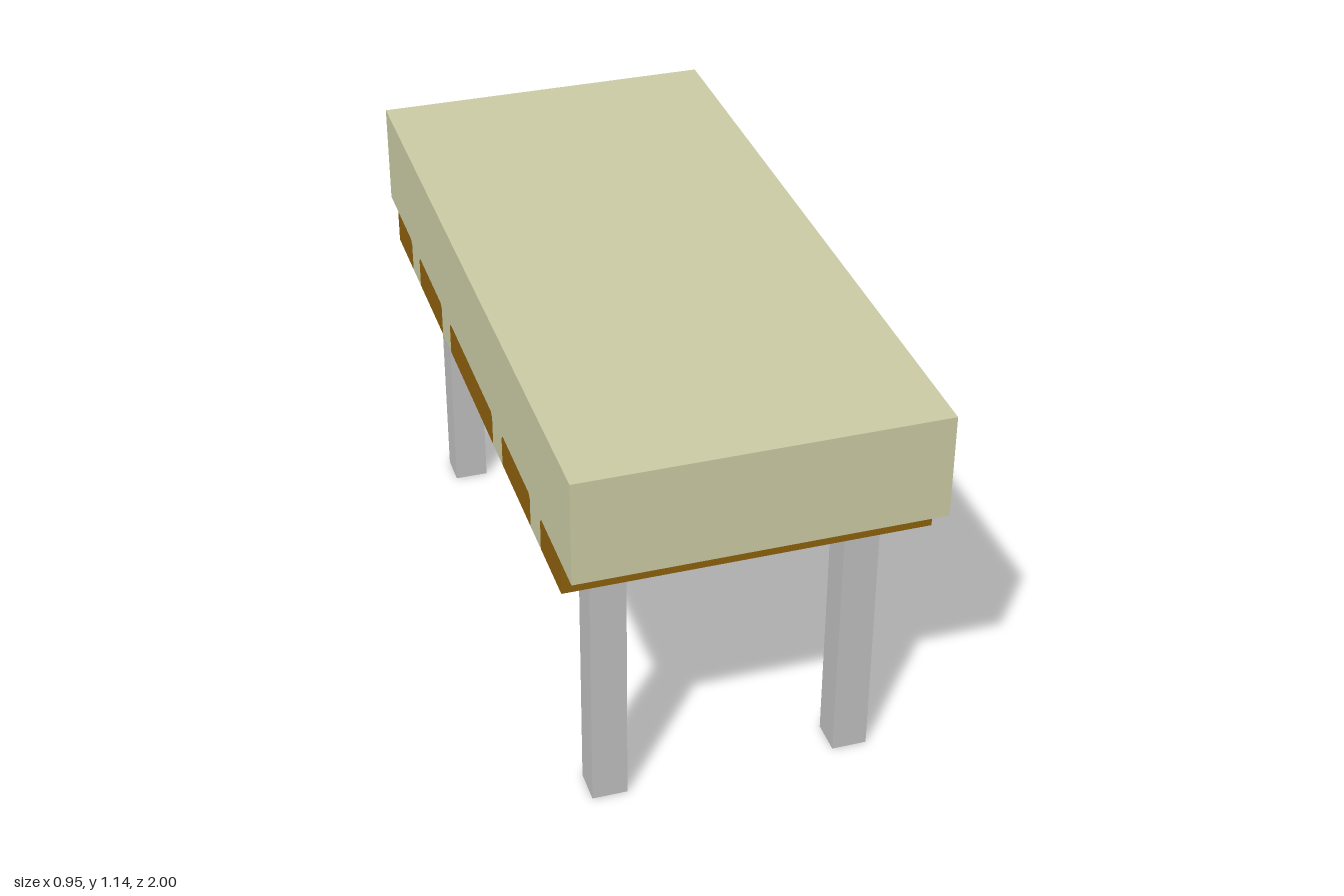
import * as THREE from 'three';

export function createModel() {
  const model = new THREE.Group();
  model.name = 'table';

  const mat = (name, color) => {
    const m = new THREE.MeshStandardMaterial({ color });
    m.name = name;
    return m;
  };
  const beige = mat('beige', 0xc9c9a3);
  const brown = mat('brown', 0x8b5f0c);
  const grey = mat('grey', 0xbdbdbd);
  const blueGrey = mat('blueGrey', 0xb6b6cc);

  const HALF_W = 0.476, T = 0.095;      // half width, rail thickness
  const RAIL_Y = 0.762, SLAB_Y = 0.857, TOP_Y = 1.143;
  const CUT = 0.012;                    // clipped upper corners of rail pieces

  const add = (name, geometry, material, x, y, z) => {
    const mesh = new THREE.Mesh(geometry, material);
    mesh.name = name;
    mesh.position.set(x, y, z);
    model.add(mesh);
  };
  const box = (name, material, w, h, d, x, y, z) =>
    add(name, new THREE.BoxGeometry(w, h, d), material, x, y, z);

  // Rail piece from z0 to z1; c0 and c1 move its upper corners outward
  function railPiece(name, material, x, z0, z1, c0, c1) {
    const shape = new THREE.Shape([
      [-z0, RAIL_Y], [-z1, RAIL_Y], [-z1, SLAB_Y - CUT],
      [-z1 - c1, SLAB_Y], [-z0 + c0, SLAB_Y], [-z0, SLAB_Y - CUT],
    ].map(([u, v]) => new THREE.Vector2(u, v)));
    const g = new THREE.ExtrudeGeometry(shape, { depth: T, bevelEnabled: false });
    g.translate(0, 0, -T / 2).rotateY(Math.PI / 2);
    add(name, g, material, x, 0, 0);
  }

  // Thick top
  box('tableTop', beige, HALF_W * 2, TOP_Y - SLAB_Y, 2, 0, (TOP_Y + SLAB_Y) / 2, 0);

  // End rails and legs
  for (const sz of [1, -1]) {
    box('endRail', brown, HALF_W * 2, SLAB_Y - RAIL_Y, T, 0, (SLAB_Y + RAIL_Y) / 2, sz * 0.857);
    for (const sx of [1, -1]) {
      box('leg', grey, T, SLAB_Y, T, sx * 0.333, SLAB_Y / 2, sz * 0.762);
    }
  }

  // Side rails: brown lengths separated by beige blocks
  const cuts = [-0.81, -0.716, -0.619, -0.337, -0.238, 0.238, 0.337, 0.619, 0.716, 0.81];
  for (const sx of [1, -1]) {
    for (let i = 0; i < cuts.length - 1; i++) {
      const isBrown = i % 2 === 0;
      const flare = isBrown ? -CUT : CUT;
      railPiece(isBrown ? 'sideRail' : 'sideBlock', isBrown ? brown : beige,
        sx * (HALF_W - T / 2), cuts[i], cuts[i + 1],
        i === 0 ? 0 : flare, i === cuts.length - 2 ? 0 : flare);
    }
  }

  // Small plate under the top beside one leg
  box('undersidePlate', blueGrey, 0.07, 0.006, 0.07, -0.25, SLAB_Y - 0.003, 0.668);

  return model;
}
